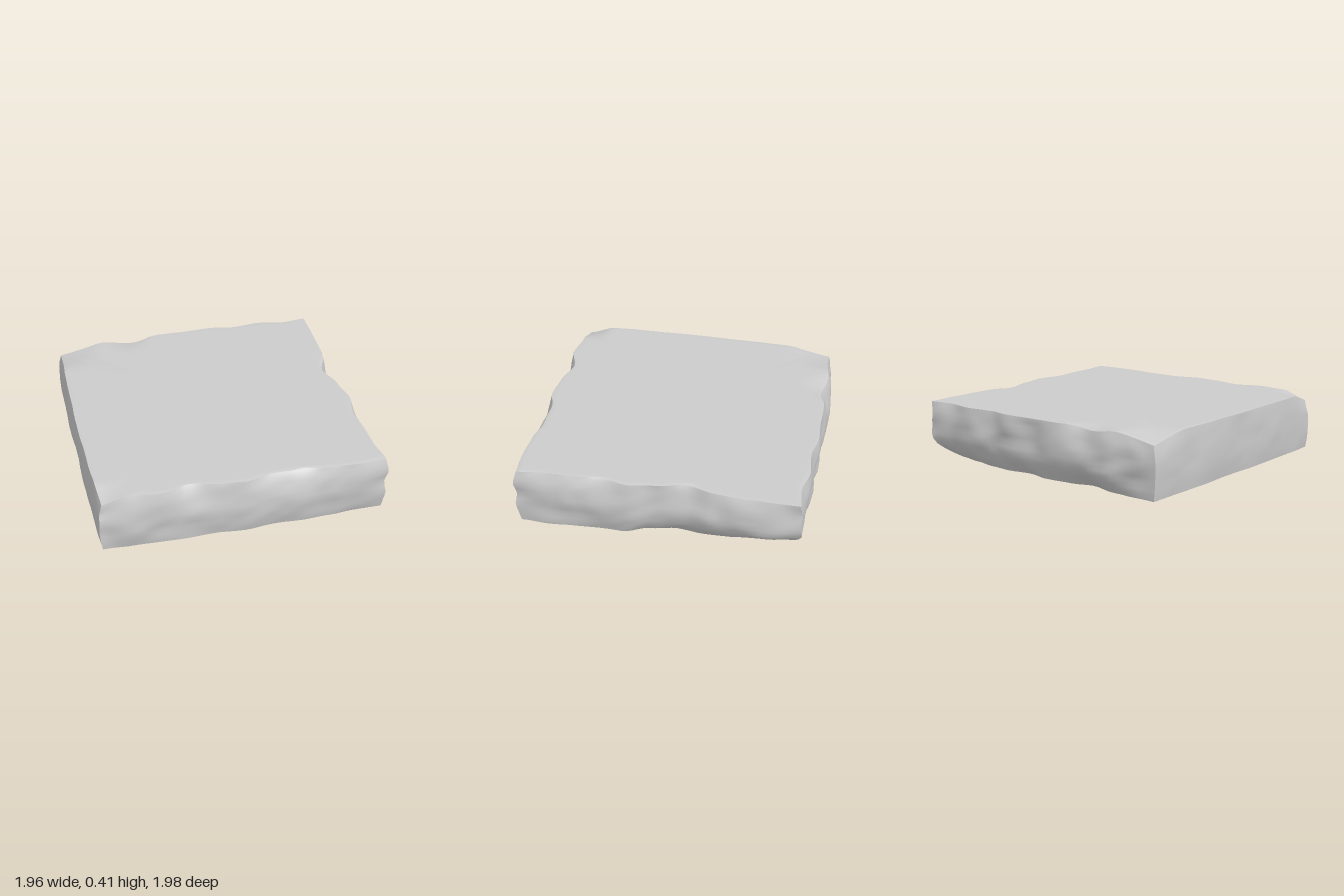
import * as THREE from 'three';
import { toCreasedNormals } from 'three/addons/utils/BufferGeometryUtils.js';

const SEG = 48; // steps along each side
const HEIGHTS = [0.01, 0.035, 0.075, 0.115, 0.155, 0.195, 0.235, 0.275, 0.315, 0.35, 0.38, 0.4, 0.412];

// Distance of each side from the centre, sampled from -1 to 1 along the side,
// at the bottom rim, the belly of the wall and the top edge.
const SIDES = {
  right: {
    rough: 0.03,
    low: [0.78, 0.8, 0.84, 0.85, 0.83, 0.86, 0.93, 0.93, 0.94, 0.95, 0.95],
    mid: [0.96, 0.985, 0.985, 0.965, 0.93, 0.93, 0.975, 0.98, 0.98, 0.98, 0.97],
    top: [0.95, 0.95, 0.94, 0.93, 0.87, 0.92, 0.95, 0.91, 0.93, 0.93, 0.95],
  },
  back: {
    rough: 0.032,
    low: [0.93, 0.92, 0.9, 0.85, 0.89, 0.9, 0.86, 0.88, 0.86, 0.82, 0.78],
    mid: [0.95, 0.965, 0.985, 0.985, 0.98, 0.975, 0.99, 0.97, 0.98, 0.965, 0.96],
    top: [0.92, 0.93, 0.95, 0.92, 0.96, 0.955, 0.965, 0.94, 0.96, 0.92, 0.94],
  },
  left: {
    rough: 0.008,
    low: [0.96, 0.96, 0.965, 0.97, 0.96, 0.96, 0.97, 0.965, 0.96, 0.96, 0.95],
    mid: [0.975, 0.98, 0.975, 0.985, 0.98, 0.98, 0.985, 0.985, 0.98, 0.975, 0.97],
    top: [0.95, 0.955, 0.965, 0.97, 0.97, 0.975, 0.975, 0.97, 0.97, 0.96, 0.945],
  },
  front: {
    rough: 0.026,
    low: [0.94, 0.95, 0.95, 0.96, 0.95, 0.96, 0.94, 0.95, 0.94, 0.92, 0.93],
    mid: [0.96, 0.985, 0.985, 0.98, 0.985, 0.995, 0.98, 0.99, 0.985, 0.985, 0.965],
    top: [0.93, 0.94, 0.96, 0.91, 0.95, 0.965, 0.92, 0.92, 0.95, 0.955, 0.94],
  },
};

const { lerp, clamp, smoothstep } = THREE.MathUtils;

function sample(list, t) {
  const f = clamp((t + 1) / 2, 0, 1) * (list.length - 1);
  const i = Math.min(Math.floor(f), list.length - 2);
  return lerp(list[i], list[i + 1], smoothstep(f - i, 0, 1));
}

// Repeatable smooth 3D noise, 0 to 1
function hash(x, y, z) {
  const s = Math.sin(x * 127.1 + y * 311.7 + z * 74.7) * 43758.5453;
  return s - Math.floor(s);
}
function noise(x, y, z) {
  const i = [x, y, z].map(Math.floor);
  const [u, v, w] = [x - i[0], y - i[1], z - i[2]].map((f) => smoothstep(f, 0, 1));
  const row = (b, c) => lerp(hash(i[0], i[1] + b, i[2] + c), hash(i[0] + 1, i[1] + b, i[2] + c), u);
  return lerp(lerp(row(0, 0), row(1, 0), v), lerp(row(0, 1), row(1, 1), v), w);
}

// Distance of one side from the centre at (t along it, height y)
function reach(name, t, y) {
  const side = SIDES[name];
  const h = y / 0.412;
  const low = sample(side.low, t), mid = sample(side.mid, t), top = sample(side.top, t);
  const base = h < 0.45
    ? lerp(low, mid, Math.sin((h / 0.45) * Math.PI / 2))
    : lerp(mid, top, Math.pow((h - 0.45) / 0.55, 2.6));
  const seed = name.length * 13.7;
  const dents = noise(t * 4.5 + seed, y * 9, seed) * 0.7 + noise(t * 11, y * 17 + seed, seed) * 0.3;
  const edgeFade = 0.35 + 0.65 * Math.sin(Math.PI * clamp(h, 0, 1));
  return base - side.rough * 1.8 * Math.max(0, dents - 0.3) * edgeFade;
}

// One closed outline at height y, running counter-clockwise seen from above
function outline(y) {
  const points = [];
  const walk = (name, from, to, place) => {
    const [a, b] = [from, to].map(([other, end, sign]) => sign * reach(other, end, y));
    for (let i = 0; i < SEG; i++) {
      const k = i / SEG;
      const t = lerp(from[2], to[2], k);
      points.push(place(reach(name, t, y), lerp(a, b, k)));
    }
  };
  walk('right', ['front', 1, 1], ['back', 1, -1], (d, s) => [d, s]);
  walk('back', ['right', -1, 1], ['left', -1, -1], (d, s) => [s, -d]);
  walk('left', ['back', -1, -1], ['front', -1, 1], (d, s) => [-d, s]);
  walk('front', ['left', 1, -1], ['right', 1, 1], (d, s) => [s, d]);
  return points;
}

// Top corners worn down: [x, z, radius, depth]
const CHIPS = [[-0.98, -0.93, 0.3, 0.06], [-0.98, 0.96, 0.2, 0.07], [-0.45, -0.98, 0.18, 0.03], [0.97, -0.22, 0.12, 0.03]];
function wear(x, z) {
  return CHIPS.reduce((sum, [cx, cz, r, d]) =>
    sum + d * Math.max(0, 1 - Math.hypot(x - cx, z - cz) / r), 0);
}

function skin(rings) {
  const count = rings[0].length;
  const index = [];
  for (let j = 0; j < rings.length - 1; j++) {
    for (let i = 0; i < count; i++) {
      const a = j * count + i, b = j * count + (i + 1) % count;
      index.push(a, b, b + count, a, b + count, a + count);
    }
  }
  const geometry = new THREE.BufferGeometry();
  geometry.setAttribute('position', new THREE.Float32BufferAttribute(rings.flat(2), 3));
  geometry.setIndex(index);
  return toCreasedNormals(geometry, 0.7);
}

export function createModel() {
  const group = new THREE.Group();
  group.name = 'stoneSlab';
  const material = new THREE.MeshStandardMaterial({ color: 0xcccccc, side: THREE.DoubleSide });

  // Rough walls, open underneath
  const rings = HEIGHTS.map((y) => outline(y).map(([x, z]) =>
    [x, y - wear(x, z) * smoothstep(y, 0.2, 0.412), z]));

  // Flat top, closing in towards the centre
  const edge = outline(0.412);
  for (const k of [0.985, 0.96, 0.92, 0.87, 0.8, 0.5, 0.001]) {
    rings.push(edge.map(([x, z]) => {
      const wave = (noise(x * k * 3, 5, z * k * 3) - 0.5) * 0.004;
      return [x * k, 0.414 + wave - wear(x * k, z * k), z * k];
    }));
  }

  const slab = new THREE.Mesh(skin(rings), material);
  slab.name = 'slab';
  group.add(slab);
  return group;
}
